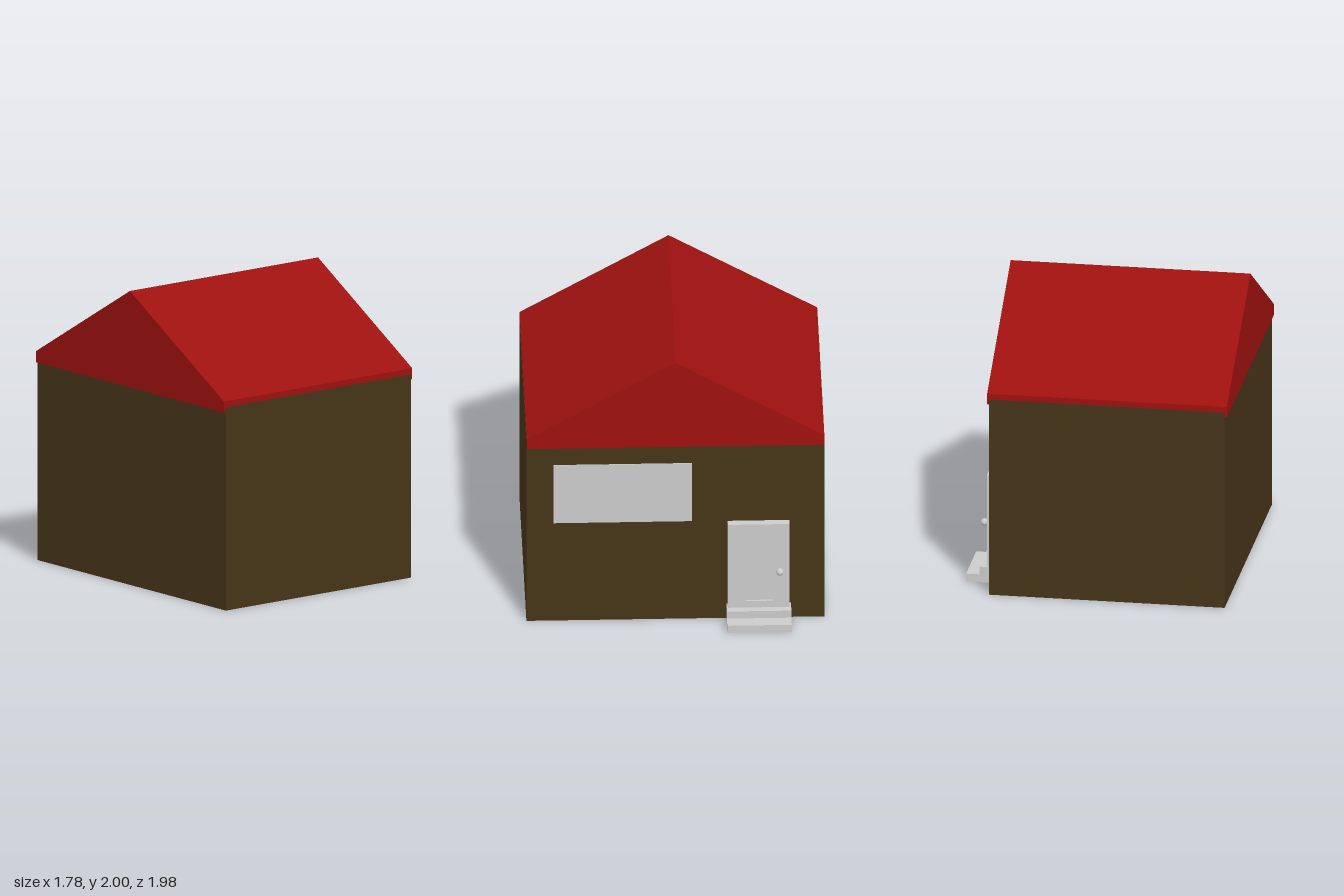
import * as THREE from 'three';

export function createModel() {
  const house = new THREE.Group();
  house.name = 'house';
  const grey = new THREE.MeshStandardMaterial({ color: 0xcccccc });
  const red = new THREE.MeshStandardMaterial({ color: 0x9e110f });
  const brown = new THREE.MeshStandardMaterial({ color: 0x463418 });

  const add = (name, geometry, material) => {
    const mesh = new THREE.Mesh(geometry, material);
    mesh.name = name;
    house.add(mesh);
    return mesh;
  };
  // Box given by its limits on each axis
  const box = (name, [x0, x1], [y0, y1], [z0, z1], material) =>
    add(name, new THREE.BoxGeometry(x1 - x0, y1 - y0, z1 - z0), material)
      .position.set((x0 + x1) / 2, (y0 + y1) / 2, (z0 + z1) / 2);
  // Outline drawn as (-z, y), extruded along x from x0 to x1
  const extrudeX = (name, shape, x0, x1, material) => {
    const geometry = new THREE.ExtrudeGeometry(shape, { depth: x1 - x0, bevelEnabled: false });
    geometry.rotateY(Math.PI / 2).translate(x0, 0, 0);
    return add(name, geometry, material);
  };
  const outline = (points) => points.map(([u, y]) => new THREE.Vector2(u, y));
  const rect = (u0, u1, y0, y1) => outline([[u0, y0], [u1, y0], [u1, y1], [u0, y1]]);

  // Walls, a hair proud of the eaves at front and back
  box('walls', [-0.88, 0.7], [0, 1.38], [-0.988, 0.988], brown);

  // Gable roof with short vertical eaves
  const gable = new THREE.Shape(outline([[-0.986, 1.345], [0.986, 1.345], [0.986, 1.42], [0, 2], [-0.986, 1.42]]));
  extrudeX('roof', gable, -0.895, 0.713, red);

  // Window pane
  box('window', [0.69, 0.705], [0.76, 1.21], [-0.11, 0.81], grey);

  // Door with a shallow sunken panel
  box('doorPanel', [0.69, 0.738], [0.1, 0.755], [-0.755, -0.345], grey);
  const face = new THREE.Shape(rect(0.345, 0.755, 0.1, 0.755));
  face.holes.push(new THREE.Path(rect(0.465, 0.645, 0.16, 0.635)));
  extrudeX('doorFrame', face, 0.738, 0.752, grey);

  // Door knob
  add('doorKnob', new THREE.SphereGeometry(0.025, 20, 14), grey).position.set(0.778, 0.4, -0.69);

  // Two doorsteps
  box('upperStep', [0.69, 0.8], [0.055, 0.11], [-0.765, -0.338], grey);
  box('lowerStep', [0.69, 0.89], [0, 0.055], [-0.765, -0.338], grey);

  return house;
}
